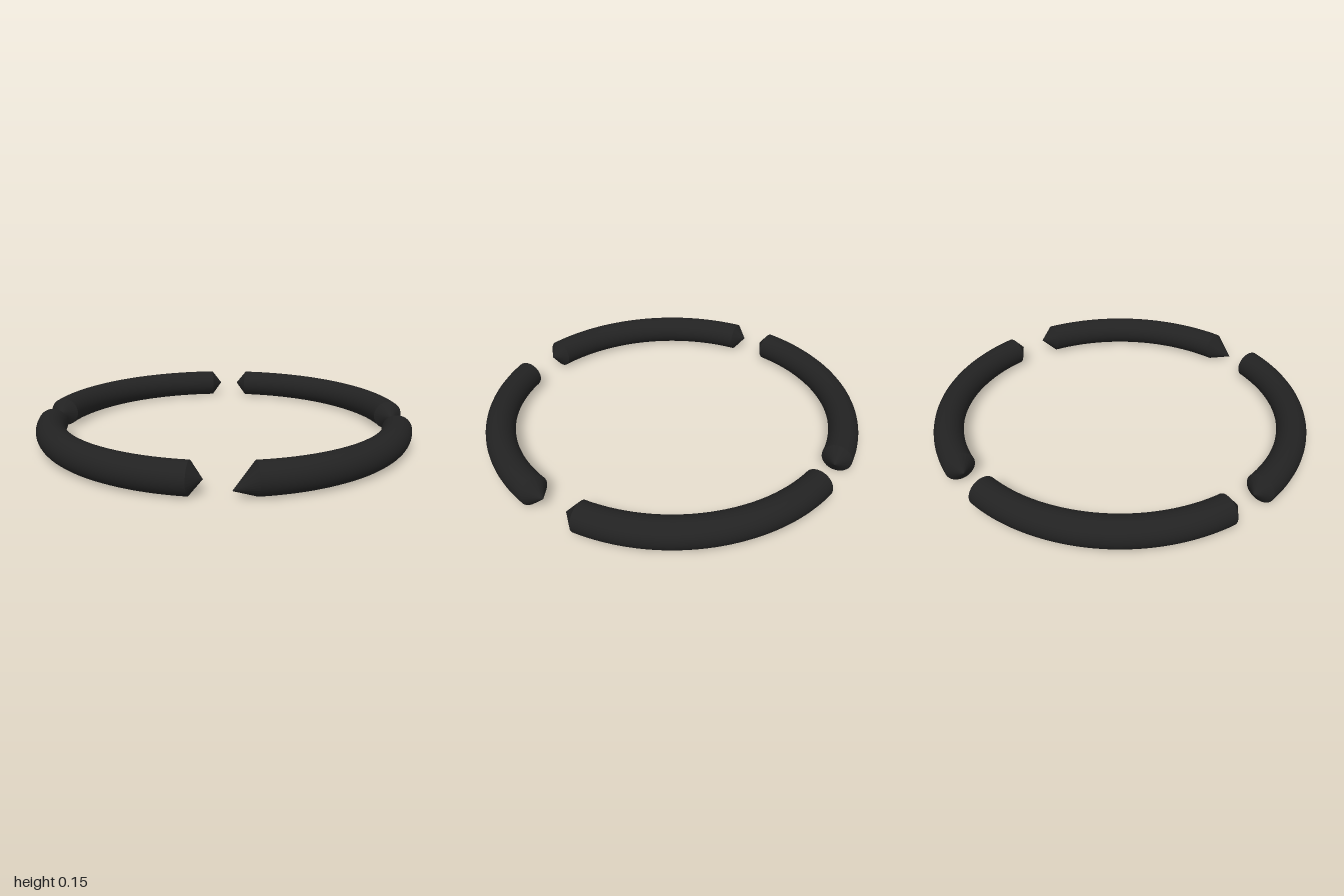
import * as THREE from 'three';

const RING = 0.923;  // centre line radius of the ring
const TUBE = 0.077;  // tube radius
const SIDES = 32;
const deg = THREE.MathUtils.degToRad;

// Point on the tube wall: phi runs from +x towards +z, v runs round the tube
function wallPoint(phi, v) {
  const d = RING + TUBE * Math.cos(v);
  return [d * Math.cos(phi), TUBE * Math.sin(v), d * Math.sin(phi)];
}

// Pointed cap joining the rim at phi to a tip
function capGeometry(phi, tip, isStart) {
  const pos = [];
  for (let i = 0; i < SIDES; i++) {
    const a = wallPoint(phi, (i / SIDES) * Math.PI * 2);
    const b = wallPoint(phi, ((i + 1) / SIDES) * Math.PI * 2);
    pos.push(...(isStart ? b : a), ...(isStart ? a : b), ...tip);
  }
  const g = new THREE.BufferGeometry();
  g.setAttribute('position', new THREE.Float32BufferAttribute(pos, 3));
  g.computeVertexNormals();
  return g;
}

export function createModel() {
  const model = new THREE.Group();
  model.name = 'segmentedRing';
  const black = new THREE.MeshStandardMaterial({ color: 0x222222 });
  black.name = 'matteBlack';

  // Each segment: rim angles in degrees and the tips (x, y from tube centre, z)
  const segments = [
    { name: 'frontLeft', from: 10.8, to: 79.2, start: [0.925, 0, 0.096], end: [0.07, -0.042, 0.95] },
    { name: 'frontRight', from: 97, to: 173, start: [-0.052, 0, 0.927], end: [-0.927, 0, 0.053] },
    { name: 'backRight', from: 187, to: 263, start: [-0.927, 0, -0.055], end: [-0.055, 0, -0.927] },
    { name: 'backLeft', from: 277, to: 353, start: [0.052, 0, -0.927], end: [0.927, 0, -0.045] },
  ];

  for (const s of segments) {
    const a = deg(s.from), b = deg(s.to);
    const group = new THREE.Group();
    group.name = s.name + 'Segment';
    group.position.y = TUBE;

    // Curved tube
    const arc = new THREE.TorusGeometry(RING, TUBE, SIDES, 48, b - a);
    arc.rotateZ(a).rotateX(Math.PI / 2);
    const tube = new THREE.Mesh(arc, black);
    tube.name = s.name + 'Tube';

    // Pointed ends
    const startCap = new THREE.Mesh(capGeometry(a, s.start, true), black);
    startCap.name = s.name + 'StartCap';
    const endCap = new THREE.Mesh(capGeometry(b, s.end, false), black);
    endCap.name = s.name + 'EndCap';

    group.add(tube, startCap, endCap);
    model.add(group);
  }
  return model;
}
